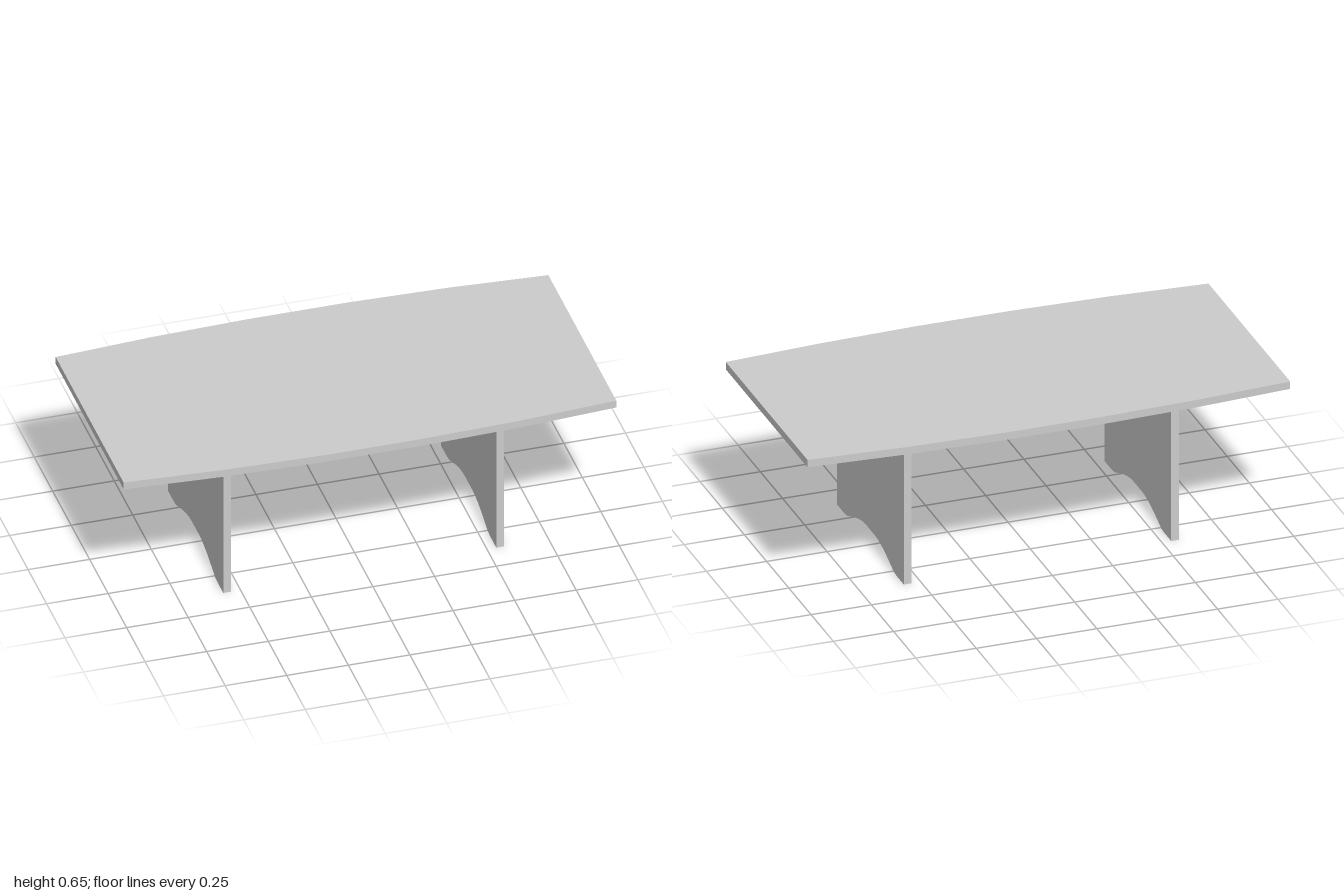
import * as THREE from 'three';

const material = new THREE.MeshStandardMaterial({ color: 0xcccccc, flatShading: true });

// Extrudes an outline that is mirrored across its vertical axis, centred in depth
function mirroredSlab(half, depth) {
  const mirrored = half.map(([u, v]) => [-u, v]).reverse();
  const shape = new THREE.Shape([...half, ...mirrored].map(([u, v]) => new THREE.Vector2(u, v)));
  return new THREE.ExtrudeGeometry(shape, { depth, bevelEnabled: false }).translate(0, 0, -depth / 2);
}

function addPart(group, name, geometry) {
  const mesh = new THREE.Mesh(geometry, material);
  mesh.name = name;
  group.add(mesh);
  return mesh;
}

export function createModel() {
  const group = new THREE.Group();
  group.name = 'table';
  const legHeight = 0.62, topThickness = 0.032, panelThickness = 0.032, panelX = 0.554;

  // Boat-shaped top: long edges bow gently outwards
  const edge = [[0.2, 0.5], [0.6, 0.487], [1, 0.46]];
  const topHalf = [...edge.map(([x, z]) => [x, -z]), ...edge.map(([x, z]) => [x, z]).reverse()];
  const top = mirroredSlab(topHalf, topThickness).rotateX(-Math.PI / 2);
  addPart(group, 'tableTop', top).position.y = legHeight + topThickness / 2;

  // Panel legs with an arched cut-out between two feet
  const legHalf = [
    [0.05, 0.063], [0.085, 0.06], [0.125, 0.052], [0.17, 0.039], [0.215, 0.022],
    [0.265, 0.003], [0.3, 0], [0.375, 0], [0.375, legHeight],
  ];
  const leg = mirroredSlab(legHalf, panelThickness).rotateY(Math.PI / 2);
  for (const [name, side] of [['leftLegPanel', 1], ['rightLegPanel', -1]]) {
    addPart(group, name, leg).position.x = side * panelX;
  }

  // Central stretcher under the top
  const bottom = 0.39;
  const length = 2 * panelX - panelThickness;
  addPart(group, 'stretcher', new THREE.BoxGeometry(length, legHeight - bottom, panelThickness))
    .position.y = (legHeight + bottom) / 2;

  return group;
}
